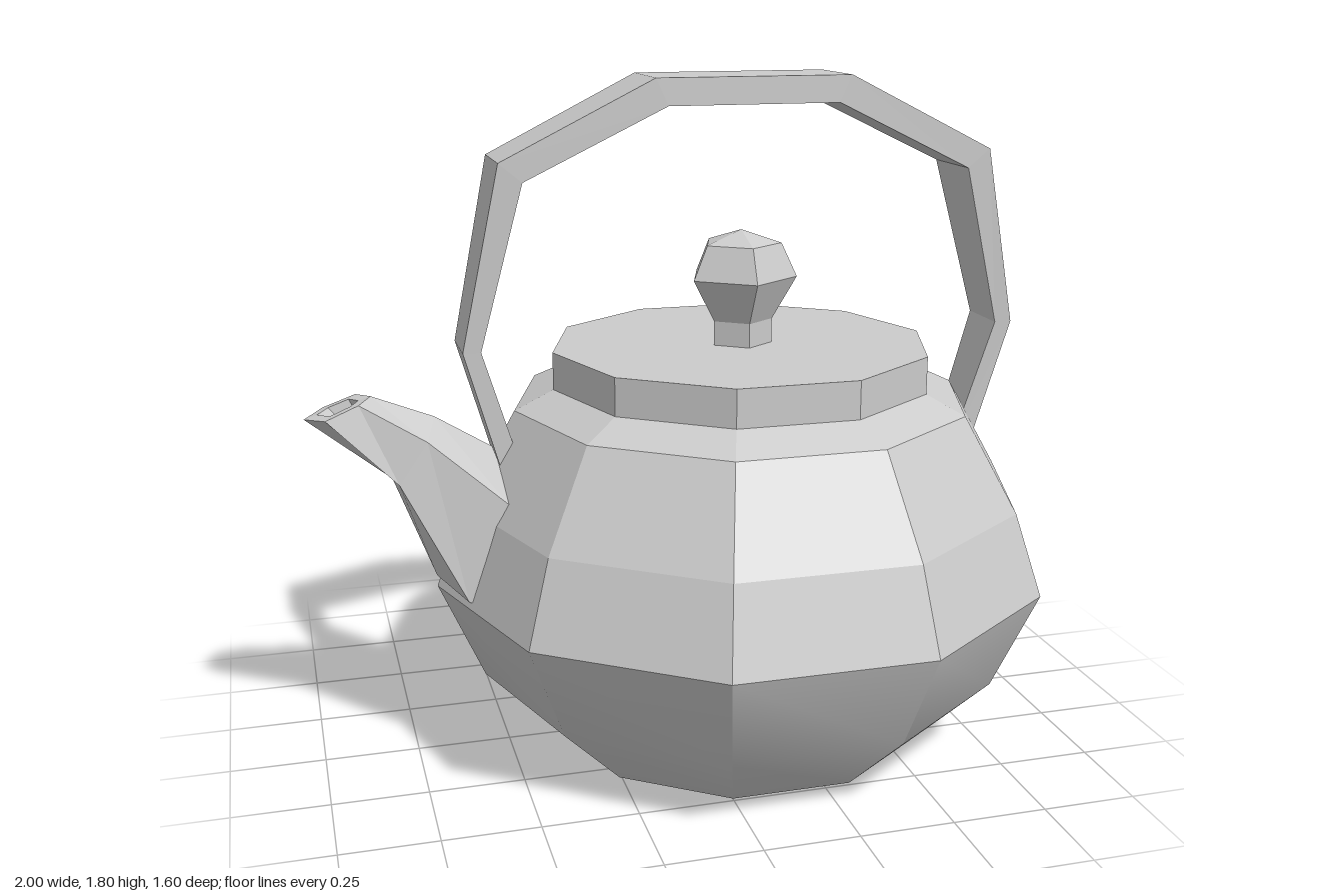
import * as THREE from 'three';
import { toCreasedNormals } from 'three/addons/utils/BufferGeometryUtils.js';

const CENTRE = 0.16; // axis of the pot body

const material = (flatShading) => new THREE.MeshStandardMaterial({ color: 0xcccccc, flatShading });

// Turned part from [radius, height] pairs
function turned(name, profile, sides, phiStart, crease) {
  let geometry = new THREE.LatheGeometry(profile.map(([r, y]) => new THREE.Vector2(r, y)), sides, phiStart);
  if (crease) geometry = toCreasedNormals(geometry, crease);
  const mesh = new THREE.Mesh(geometry, material(!crease));
  mesh.name = name;
  mesh.position.x = CENTRE;
  return mesh;
}

// Closed skin over rings of [x, y, z] points, capped at both ends
function loft(name, rings) {
  const n = rings[0].length;
  const index = [];
  for (let r = 0; r < rings.length - 1; r++) {
    for (let i = 0; i < n; i++) {
      const j = (i + 1) % n;
      const a = r * n + i, b = r * n + j, c = b + n, d = a + n;
      index.push(a, b, c, a, c, d);
    }
  }
  const last = (rings.length - 1) * n;
  for (let i = 1; i < n - 1; i++) {
    index.push(0, i + 1, i);
    index.push(last, last + i, last + i + 1);
  }
  const geometry = new THREE.BufferGeometry();
  geometry.setAttribute('position', new THREE.Float32BufferAttribute(rings.flat(2), 3));
  geometry.setIndex(index);
  geometry.computeVertexNormals();
  const mesh = new THREE.Mesh(geometry, material(true));
  mesh.name = name;
  return mesh;
}

// Overhead handle: half arch as [outer x, outer y, inner x, inner y, half width], mirrored
function createHandle() {
  const half = [
    [-0.64, 0.70, -0.59, 0.72, 0.06],
    [-0.76, 1.12, -0.713, 1.12, 0.08],
    [-0.66, 1.60, -0.60, 1.55, 0.105],
    [-0.26, 1.80, -0.228, 1.73, 0.115],
  ];
  const mirrored = half.map(([ox, oy, ix, iy, w]) => [-ox, oy, -ix, iy, w]).reverse();
  const rings = [...half, ...mirrored].map(([ox, oy, ix, iy, w]) =>
    [[ox, oy, w], [ix, iy, w], [ix, iy, -w], [ox, oy, -w]]);
  const mesh = loft('handle', rings);
  mesh.position.x = CENTRE;
  return mesh;
}

// Hexagonal spout with a recessed mouth
function createSpout() {
  const hexagon = (top, upper, lower, bottom) => [
    [top[0], top[1], 0],
    [upper[0], upper[1], -upper[2]],
    [lower[0], lower[1], -lower[2]],
    [bottom[0], bottom[1], 0],
    [lower[0], lower[1], lower[2]],
    [upper[0], upper[1], upper[2]],
  ];
  const root = hexagon([-0.42, 0.74], [-0.42, 0.68, 0.18], [-0.52, 0.46, 0.18], [-0.56, 0.46]);
  const base = hexagon([-0.51, 0.84], [-0.515, 0.75, 0.19], [-0.62, 0.49, 0.19], [-0.68, 0.50]);
  const bend = hexagon([-0.67, 0.94], [-0.70, 0.90, 0.10], [-0.775, 0.79, 0.10], [-0.785, 0.78]);
  const rim = hexagon([-0.83, 1.005], [-0.865, 0.998, 0.06], [-0.95, 0.965, 0.07], [-1.0, 0.955]);
  const inset = (scale, dx, dy) => rim.map(([x, y, z]) =>
    [-0.913 + (x + 0.913) * scale + dx, 0.981 + (y - 0.981) * scale + dy, z * scale]);
  return loft('spout', [root, base, bend, rim, inset(0.62, 0, 0), inset(0.5, 0.02, -0.03)]);
}

export function createModel() {
  const group = new THREE.Group();
  group.name = 'kettle';
  const quarter = Math.PI / 2;

  // Ten-sided pot, softly rounded below the widest line
  group.add(turned('lowerBody', [[0, 0], [0.515, 0], [0.72, 0.2], [0.84, 0.47]], 10, quarter, 0.41));
  group.add(turned('upperBody', [[0.84, 0.47], [0.765, 0.69], [0.62, 0.94], [0.515, 0.99], [0, 0.99]], 10, quarter));

  // Lid and its five-sided knob
  group.add(turned('lid', [[0, 0.985], [0.515, 0.985], [0.515, 1.09], [0, 1.09]], 10, quarter));
  group.add(turned('lidKnob', [[0.085, 1.085], [0.085, 1.155], [0.15, 1.27], [0.108, 1.36], [0, 1.395]], 5, 0));

  group.add(createHandle(), createSpout());
  return group;
}
